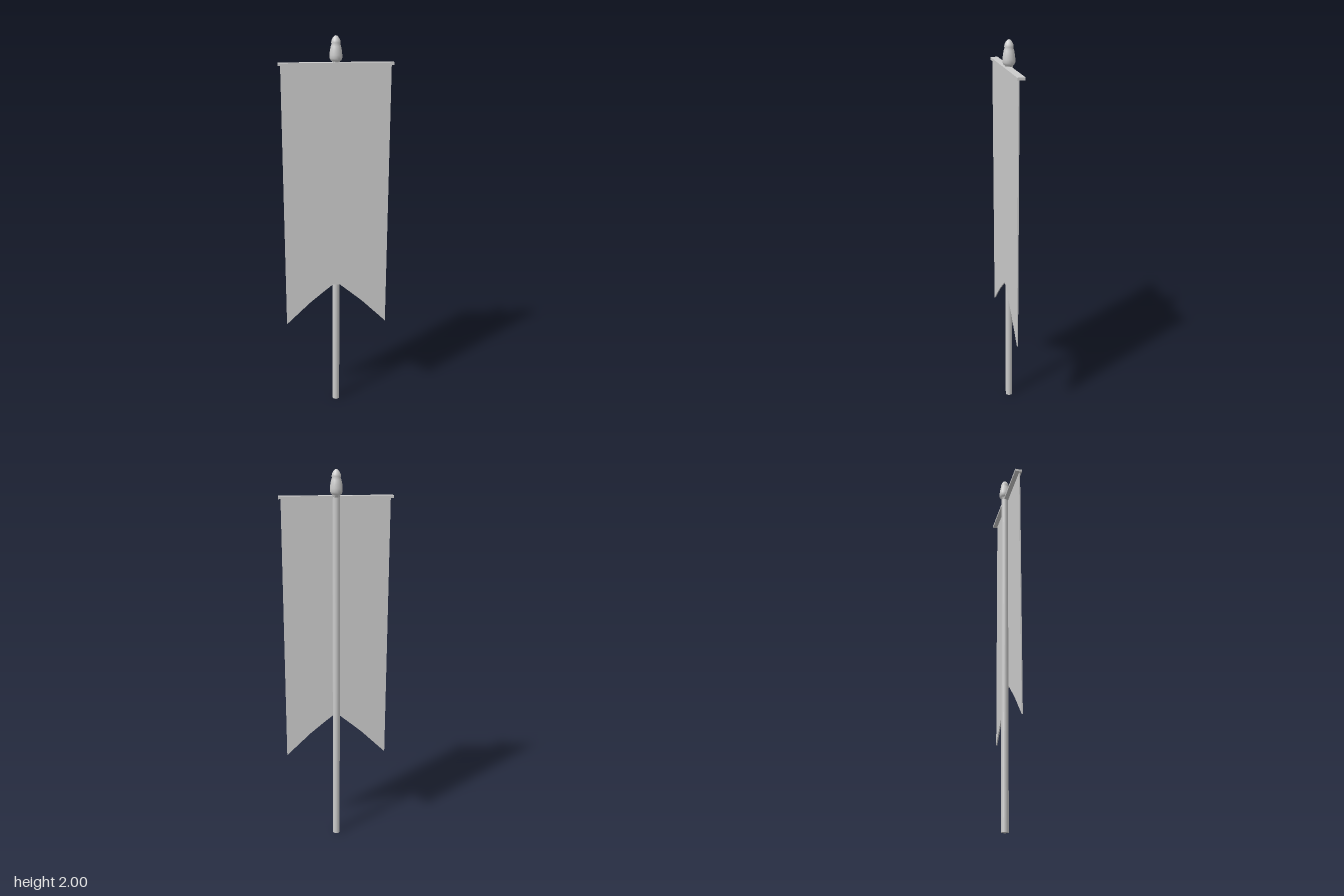
import * as THREE from 'three';

const material = new THREE.MeshStandardMaterial({ color: 0xcccccc, side: THREE.DoubleSide });

function add(group, name, geometry, x = 0, y = 0, z = 0) {
  const mesh = new THREE.Mesh(geometry, material);
  mesh.name = name;
  mesh.position.set(x, y, z);
  group.add(mesh);
}

export function createModel() {
  const group = new THREE.Group();
  group.name = 'bannerOnPole';

  // Upright pole
  add(group, 'pole', new THREE.CylinderGeometry(0.019, 0.019, 1.88, 12), 0, 0.94, 0);

  // Turned finial: neck, bulb, waist and pointed cap
  const profile = [
    [0, 1.87], [0.019, 1.87], [0.019, 1.879], [0.026, 1.884], [0.031, 1.895], [0.031, 1.91],
    [0.029, 1.93], [0.025, 1.95], [0.021, 1.96], [0.023, 1.967],
    [0.021, 1.977], [0.015, 1.989], [0.007, 1.998], [0, 2],
  ].map(([r, y]) => new THREE.Vector2(r, y));
  add(group, 'finial', new THREE.LatheGeometry(profile, 14));

  // Flat crossbar along the top of the cloth
  add(group, 'crossbar', new THREE.BoxGeometry(0.56, 0.013, 0.038), 0, 1.869, 0.011);

  // Cloth with a swallowtail cut, its edges slightly bowed
  const tail = [[0.268, 0.49], [0.14, 0.615], [0.075, 0.67], [0.018, 0.717]];
  const outline = [
    [-0.268, 1.865],
    ...tail.map(([x, y]) => [-x, y]),
    ...[...tail].reverse(),
    [0.268, 1.865],
  ].map(([x, y]) => new THREE.Vector2(x, y));
  const cloth = new THREE.ExtrudeGeometry(new THREE.Shape(outline), { depth: 0.006, bevelEnabled: false });
  add(group, 'cloth', cloth, 0, 0, 0.016);

  return group;
}
